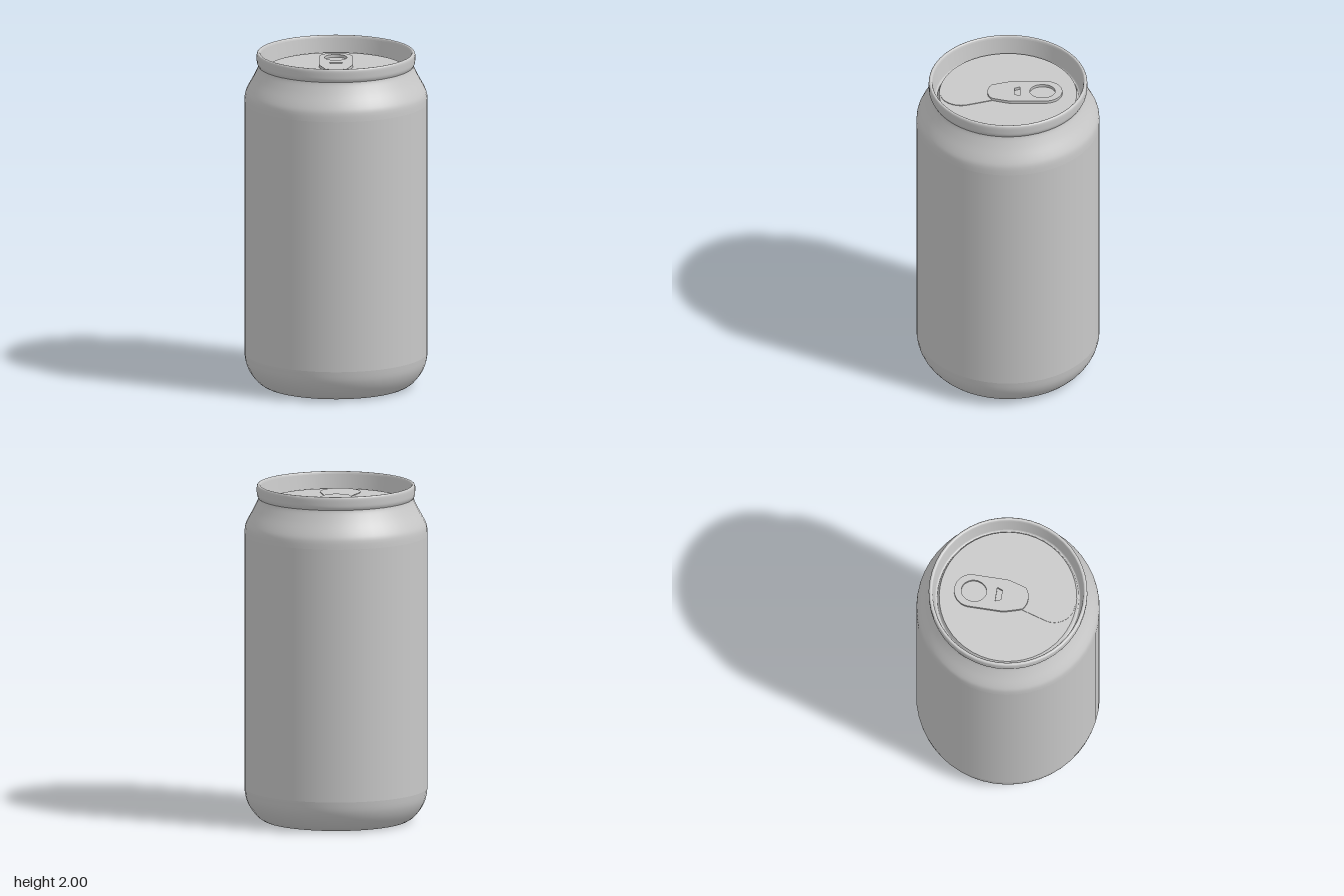
import * as THREE from 'three';

export function createModel() {
  const can = new THREE.Group();
  can.name = 'drinkCan';
  const aluminium = new THREE.MeshStandardMaterial({ color: 0xc8c8c8 });
  aluminium.name = 'aluminium';

  const add = (name, geometry, y = 0) => {
    const mesh = new THREE.Mesh(geometry, aluminium);
    mesh.name = name;
    mesh.position.y = y;
    can.add(mesh);
  };
  const vec = ([x, y]) => new THREE.Vector2(x, y);
  // Turned part: profile of [radius, height], optionally smoothed by a spline
  const turn = (name, profile, steps = 0) => {
    const pts = profile.map(vec);
    const line = steps ? new THREE.SplineCurve(pts).getPoints(steps) : pts;
    line.forEach((p) => { p.x = Math.max(p.x, 0); });
    add(name, new THREE.LatheGeometry(line, 48));
  };
  // Flat part drawn in x and z, with its top face at height y
  const plate = (name, shape, depth, y) => {
    const geometry = new THREE.ExtrudeGeometry(shape, { depth, bevelEnabled: false, curveSegments: 20 });
    add(name, geometry.rotateX(Math.PI / 2), y);
  };

  // Shell, from the domed base up to the neck
  turn('baseDome', [[0, 0.17], [0.12, 0.157], [0.24, 0.117], [0.34, 0.058], [0.41, 0.003]], 16);
  turn('baseRing', [[0.41, 0.003], [0.418, 0], [0.43, 0.002]]);
  turn('lowerCurve', [[0.43, 0.002], [0.465, 0.025], [0.505, 0.075], [0.53, 0.13], [0.54, 0.19]], 14);
  turn('wall', [[0.54, 0.19], [0.54, 1.7]]);
  turn('shoulder', [[0.54, 1.7], [0.536, 1.75], [0.52, 1.79], [0.487, 1.85], [0.463, 1.9], [0.457, 1.92]], 16);

  // Rolled rim and the sunken seam inside it
  turn('rim', [[0.457, 1.92], [0.465, 1.937], [0.467, 1.96], [0.467, 1.985], [0.463, 1.997],
    [0.456, 2], [0.448, 1.997], [0.444, 1.985]], 24);
  turn('innerWall', [[0.444, 1.985], [0.429, 1.885]]);
  turn('groove', [[0.429, 1.885], [0.424, 1.877], [0.417, 1.877], [0.413, 1.885]], 8);
  turn('panelEdge', [[0.413, 1.885], [0.405, 1.905]]);
  turn('lid', [[0.405, 1.905], [0, 1.905]]);

  // Teardrop opening panel
  const mouth = new THREE.Shape();
  mouth.moveTo(-0.065, 0.08);
  mouth.lineTo(0.065, 0.08);
  mouth.lineTo(0.115, 0.245);
  mouth.bezierCurveTo(0.135, 0.32, 0.08, 0.398, 0, 0.398);
  mouth.bezierCurveTo(-0.08, 0.398, -0.135, 0.32, -0.115, 0.245);
  mouth.closePath();
  plate('mouthPanel', mouth, 0.005, 1.909);

  // Pull tab with finger hole and slot
  const tab = new THREE.Shape();
  tab.moveTo(0.1, -0.22);
  tab.lineTo(0.1, -0.02);
  tab.quadraticCurveTo(0.098, 0, 0.068, 0.095);
  tab.quadraticCurveTo(0.04, 0.121, 0, 0.121);
  tab.quadraticCurveTo(-0.04, 0.121, -0.068, 0.095);
  tab.quadraticCurveTo(-0.098, 0, -0.1, -0.02);
  tab.lineTo(-0.1, -0.22);
  tab.absarc(0, -0.22, 0.1, Math.PI, Math.PI * 2, false);
  const ring = new THREE.Path();
  ring.absellipse(0, -0.203, 0.066, 0.075, 0, Math.PI * 2, true, 0);
  const slot = new THREE.Path([[-0.043, -0.07], [-0.03, -0.038], [0.03, -0.038], [0.043, -0.07]].map(vec));
  tab.holes.push(ring, slot);
  plate('pullTab', tab, 0.018, 1.922);

  return can;
}
